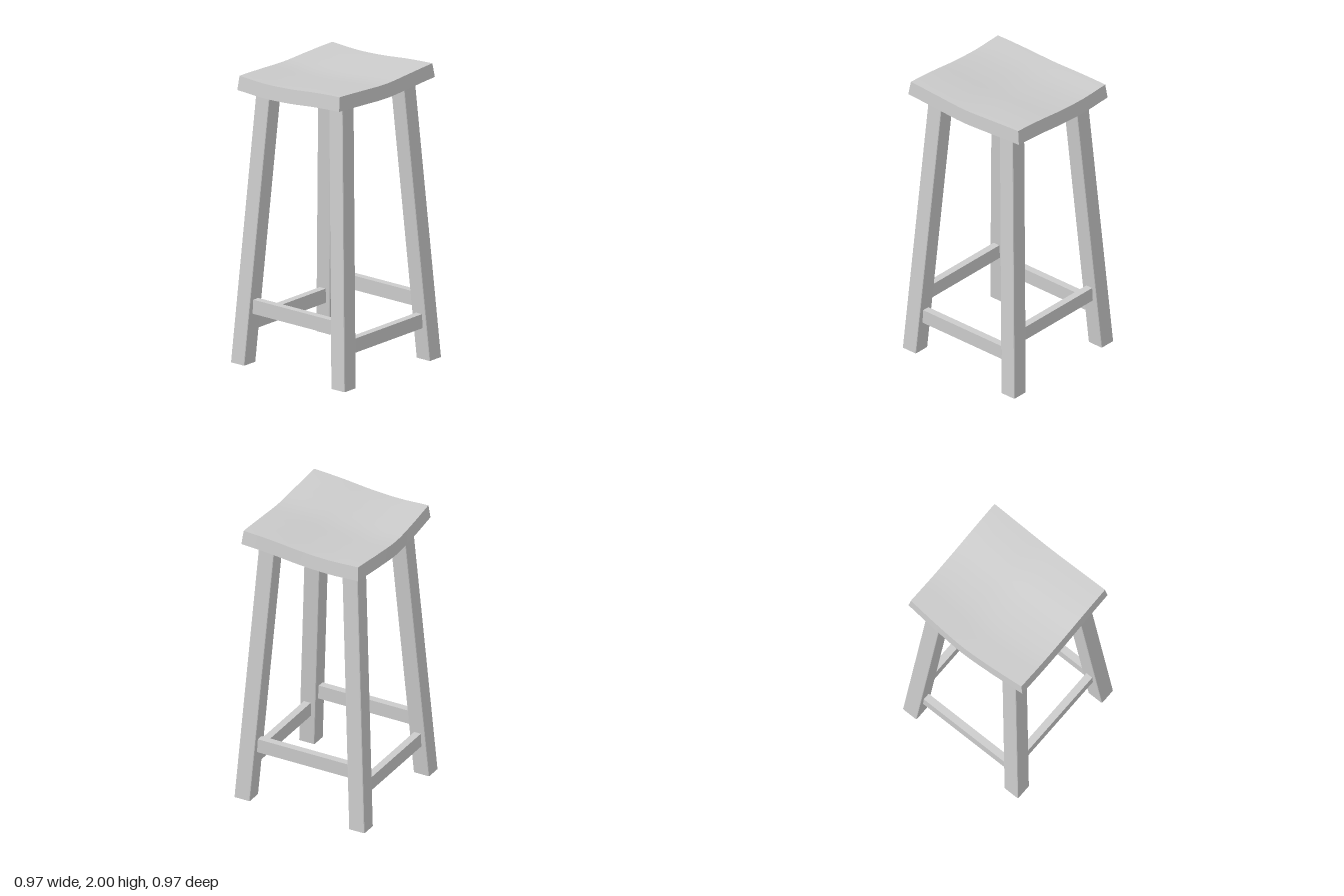
import * as THREE from 'three';

const material = new THREE.MeshStandardMaterial({ color: 0xcccccc });

// Smooth curve height at parameter t (-1..1) through evenly spaced points
function sample(points, t) {
  const f = ((t + 1) / 2) * (points.length - 1);
  const i = Math.min(Math.floor(f), points.length - 2);
  const a = f - i;
  const p = (k) => points[Math.max(0, Math.min(points.length - 1, k))];
  const m0 = (p(i + 1) - p(i - 1)) / 2;
  const m1 = (p(i + 2) - p(i)) / 2;
  const a2 = a * a, a3 = a2 * a;
  return (2 * a3 - 3 * a2 + 1) * p(i) + (a3 - 2 * a2 + a) * m0 +
    (3 * a2 - 2 * a3) * p(i + 1) + (a3 - a2) * m1;
}

// Dished seat: a subdivided box bent in both directions, flared at the bottom
function seatGeometry() {
  const sideProfile = [1.966, 1.957, 1.966, 1.987, 2.0]; // back to front
  const dip = [0, 0.013, 0.025, 0.013, 0]; // across the width
  const geometry = new THREE.BoxGeometry(2, 2, 2, 16, 1, 16);
  const pos = geometry.attributes.position;
  for (let i = 0; i < pos.count; i++) {
    const u = pos.getX(i), v = pos.getZ(i), top = pos.getY(i) > 0;
    const x = u * (top ? 0.466 : 0.48);
    const front = top ? 0.426 : 0.435;
    const back = -(top ? 0.427 : 0.434) - 0.026 * (1 - Math.pow(Math.abs(u), 1.6));
    const z = THREE.MathUtils.lerp(back, front, (v + 1) / 2);
    const y = sample(sideProfile, v) - sample(dip, u) - (top ? 0 : 0.095);
    pos.setXYZ(i, x, y, z);
  }
  geometry.computeVertexNormals();
  return geometry;
}

// Square leg with eased corners, sheared so it splays in x and z
function legGeometry(sx, sz) {
  const h = 0.058, r = 0.008, height = 1.91, slope = 0.0635, foot = 0.428;
  const shape = new THREE.Shape();
  shape.moveTo(-h + r, -h);
  shape.lineTo(h - r, -h);
  shape.quadraticCurveTo(h, -h, h, -h + r);
  shape.lineTo(h, h - r);
  shape.quadraticCurveTo(h, h, h - r, h);
  shape.lineTo(-h + r, h);
  shape.quadraticCurveTo(-h, h, -h, h - r);
  shape.lineTo(-h, -h + r);
  shape.quadraticCurveTo(-h, -h, -h + r, -h);
  const geometry = new THREE.ExtrudeGeometry(shape, {
    depth: height, bevelEnabled: false, curveSegments: 3,
  });
  geometry.rotateX(-Math.PI / 2);
  const pos = geometry.attributes.position;
  for (let i = 0; i < pos.count; i++) {
    const c = foot - slope * pos.getY(i);
    pos.setX(i, pos.getX(i) + sx * c);
    pos.setZ(i, pos.getZ(i) + sz * c);
  }
  geometry.computeVertexNormals();
  return geometry;
}

export function createModel() {
  const model = new THREE.Group();
  model.name = 'stool';
  const add = (name, geometry, x = 0, y = 0, z = 0) => {
    const mesh = new THREE.Mesh(geometry, material);
    mesh.name = name;
    mesh.position.set(x, y, z);
    model.add(mesh);
  };

  add('seat', seatGeometry());

  // Four splayed legs
  for (const sx of [-1, 1]) {
    for (const sz of [-1, 1]) {
      const name = (sz > 0 ? 'front' : 'back') + (sx > 0 ? 'Left' : 'Right') + 'Leg';
      add(name, legGeometry(sx, sz));
    }
  }

  // Low rails at front and back, higher rails at the sides
  for (const s of [-1, 1]) {
    add(s > 0 ? 'frontRail' : 'backRail',
      new THREE.BoxGeometry(0.78, 0.097, 0.05), 0, 0.267, s * 0.411);
    add(s > 0 ? 'leftRail' : 'rightRail',
      new THREE.BoxGeometry(0.05, 0.097, 0.77), s * 0.403, 0.395, 0);
  }
  return model;
}
